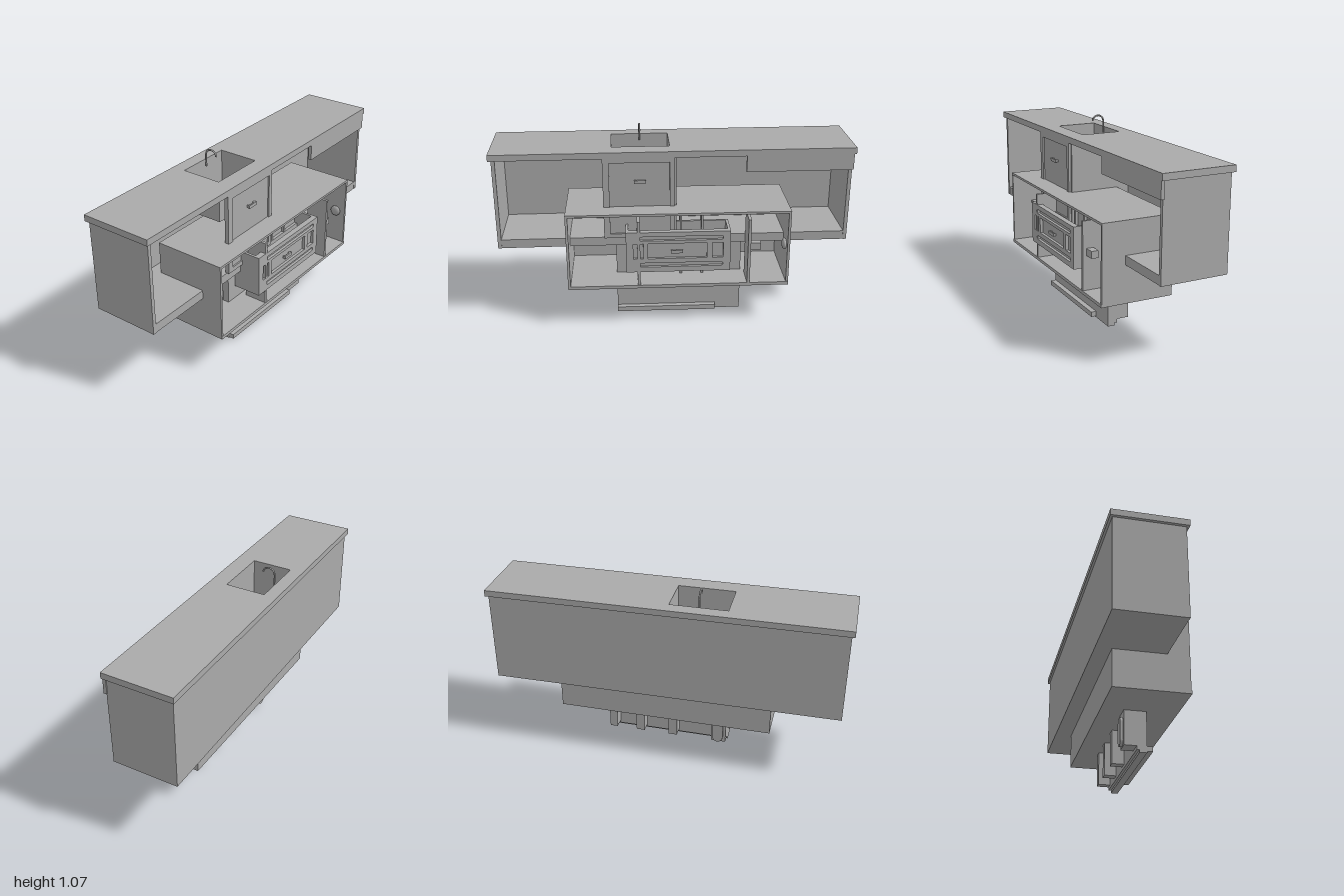
import * as THREE from 'three';

export function createModel() {
  const root = new THREE.Group();
  const grey = new THREE.MeshStandardMaterial({ color: 0xaaaaaa });
  grey.name = 'warm grey';

  const add = (parent, name, geometry) => {
    const mesh = new THREE.Mesh(geometry, grey);
    mesh.name = name;
    parent.add(mesh);
    return mesh;
  };
  const group = (name) => {
    const g = new THREE.Group();
    g.name = name;
    root.add(g);
    return g;
  };
  // Box given by its limits on each axis
  const box = (parent, name, x0, x1, y0, y1, z0, z1) => {
    const m = add(parent, name, new THREE.BoxGeometry(x1 - x0, y1 - y0, z1 - z0));
    m.position.set((x0 + x1) / 2, (y0 + y1) / 2, (z0 + z1) / 2);
    return m;
  };
  const rect = (P, a0, a1, b0, b1) => {
    const p = new P();
    p.moveTo(a0, b0).lineTo(a1, b0).lineTo(a1, b1).lineTo(a0, b1).closePath();
    return p;
  };
  const slot = (a0, a1, b0, b1) => {
    const p = new THREE.Path(), r = (b1 - b0) / 2, c = (b0 + b1) / 2;
    p.absarc(a1 - r, c, r, -Math.PI / 2, Math.PI / 2);
    p.absarc(a0 + r, c, r, Math.PI / 2, Math.PI * 1.5);
    p.closePath();
    return p;
  };
  // Pierced panel facing +x; outline runs along -z and y
  const panel = (parent, name, x, depth, outline, holes) => {
    outline.holes = holes;
    const m = add(parent, name, new THREE.ExtrudeGeometry(outline, { depth, bevelEnabled: false, curveSegments: 6 }));
    m.rotation.y = Math.PI / 2;
    m.position.x = x;
    return m;
  };
  const handle = (parent, x, y, z, w) => {
    box(parent, 'handleBar', x + 0.012, x + 0.02, y - 0.009, y + 0.009, z - w / 2, z + w / 2);
    for (const s of [-1, 1]) {
      const c = z + s * (w / 2 - 0.006);
      box(parent, 'handlePost', x, x + 0.013, y - 0.006, y + 0.006, c - 0.005, c + 0.005);
    }
  };

  // Upper cabinet, turned very slightly
  const upper = group('upperCabinet');
  upper.rotation.y = 0.01;
  const top = rect(THREE.Shape, -0.255, 0.15, -0.996, 0.996);
  top.holes = [rect(THREE.Path, -0.18, 0.05, -0.34, -0.02)];
  const counter = add(upper, 'countertop', new THREE.ExtrudeGeometry(top, { depth: 0.035, bevelEnabled: false }));
  counter.rotation.x = -Math.PI / 2;
  counter.position.y = 0.955;
  box(upper, 'backPanel', -0.242, -0.225, 0.44, 0.955, -0.98, 0.98);
  for (const s of [-1, 1]) {
    const z = s * 0.97;
    box(upper, 'endPanel', -0.242, 0.136, 0.44, 0.955, z - 0.01, z + 0.01);
  }
  box(upper, 'cabinetFloor', -0.225, 0.134, 0.44, 0.49, -0.96, 0.96);
  box(upper, 'apron', 0.13, 0.149, 0.863, 0.955, -0.985, -0.395);

  // Sink basin and tap
  box(upper, 'basinFloor', -0.19, 0.06, 0.76, 0.77, 0.01, 0.35);
  for (const [a, b] of [[-0.19, -0.18], [0.05, 0.06]]) box(upper, 'basinSide', a, b, 0.77, 0.957, 0.01, 0.35);
  for (const [a, b] of [[0.01, 0.02], [0.34, 0.35]]) box(upper, 'basinEnd', -0.18, 0.05, 0.77, 0.957, a, b);
  const spout = [[-0.16, 0.96], [-0.16, 1.03]];
  for (let i = 1; i <= 7; i++) {
    const t = Math.PI * (1 - i / 7.5);
    spout.push([-0.125 + 0.035 * Math.cos(t), 1.03 + 0.033 * Math.sin(t)]);
  }
  const path = new THREE.CatmullRomCurve3(spout.map(([x, y]) => new THREE.Vector3(x, y, 0.18)));
  add(upper, 'tap', new THREE.TubeGeometry(path, 28, 0.005, 8));
  const tip = add(upper, 'tapTip', new THREE.CylinderGeometry(0.005, 0.006, 0.008, 8));
  tip.position.set(-0.092, 1.037, 0.18);

  // Framed door below the sink
  panel(upper, 'doorFrame', 0.135, 0.014, rect(THREE.Shape, -0.39, 0, 0.49, 0.955),
    [rect(THREE.Path, -0.355, -0.025, 0.515, 0.93)]);
  box(upper, 'doorPanel', 0.125, 0.14, 0.49, 0.955, 0, 0.39);
  handle(upper, 0.14, 0.823, 0.187, 0.065);
  box(upper, 'doorSidePanel', -0.225, 0.135, 0.49, 0.955, -0.012, 0);

  // Lower cabinet, open at +x
  const lower = group('lowerCabinet');
  const z0 = -0.635, z1 = 0.595;
  box(lower, 'lowerTop', -0.15, 0.26, 0.662, 0.675, z0, z1);
  box(lower, 'lowerFloor', -0.15, 0.264, 0.23, 0.248, z0, z1);
  box(lower, 'lowerBack', -0.15, -0.135, 0.248, 0.662, z0, z1);
  box(lower, 'lowerEndFront', -0.135, 0.26, 0.248, 0.662, z1 - 0.014, z1);
  box(lower, 'lowerEndRear', -0.135, 0.26, 0.248, 0.662, z0, z0 + 0.014);
  for (const z of [0.2, -0.41]) box(lower, 'divider', 0.13, 0.262, 0.248, 0.63, z - 0.008, z + 0.008);
  for (const z of [-0.04, -0.16]) box(lower, 'innerPost', 0.04, 0.13, 0.248, 0.662, z - 0.006, z + 0.006);
  const knob = add(lower, 'roundKnob', new THREE.SphereGeometry(0.032, 20, 14));
  knob.scale.z = 0.45;
  knob.position.set(0.2, 0.455, -0.613);
  box(lower, 'smallCatch', 0.2, 0.24, 0.44, 0.48, -0.476, -0.418);

  // Drawer with a pierced front
  const drawer = group('drawer');
  panel(drawer, 'drawerFront', 0.246, 0.017, rect(THREE.Shape, -0.27, 0.305, 0.33, 0.568), [
    rect(THREE.Path, -0.15, 0.175, 0.41, 0.5),
    rect(THREE.Path, -0.23, -0.175, 0.41, 0.5),
    rect(THREE.Path, 0.205, 0.265, 0.41, 0.5),
    slot(-0.2, 0.265, 0.518, 0.542),
    slot(-0.2, 0.265, 0.36, 0.384),
  ]);
  box(drawer, 'drawerFrontBacking', 0.23, 0.247, 0.33, 0.568, -0.305, 0.27);
  box(drawer, 'drawerBack', 0.1, 0.115, 0.33, 0.568, -0.305, 0.27);
  box(drawer, 'drawerFloor', 0.115, 0.23, 0.33, 0.345, -0.305, 0.27);
  for (const z of [-0.305, 0.255]) box(drawer, 'drawerSide', 0.115, 0.23, 0.345, 0.568, z, z + 0.015);
  handle(drawer, 0.245, 0.45, -0.01, 0.065);

  // Base unit reaching up to the upper cabinet floor
  const base = group('baseUnit');
  box(base, 'basePanel', 0.055, 0.095, 0, 0.44, -0.385, 0.325);
  box(base, 'baseLining', 0.04, 0.056, 0.015, 0.23, -0.385, 0.325);
  box(base, 'baseRail', 0.095, 0.126, 0.008, 0.036, -0.24, 0.325);
  for (const [a, b] of [[-0.385, -0.34], [-0.22, -0.17], [-0.02, 0.03], [0.24, 0.325]])
    box(base, 'basePost', -0.028, 0.041, 0.035, 0.24, a, b);
  const pad = add(base, 'backPad', new THREE.ExtrudeGeometry(slot(-0.04, 0.04, -0.008, 0.008).getPoints().length
    ? new THREE.Shape(slot(-0.08, 0.08, -0.03, 0.03).getPoints(8)) : null, { depth: 0.017, bevelEnabled: false }));
  pad.rotation.set(0, Math.PI / 2, Math.PI / 2, 'YXZ');
  pad.position.set(-0.044, 0.12, 0.28);
  return root;
}
